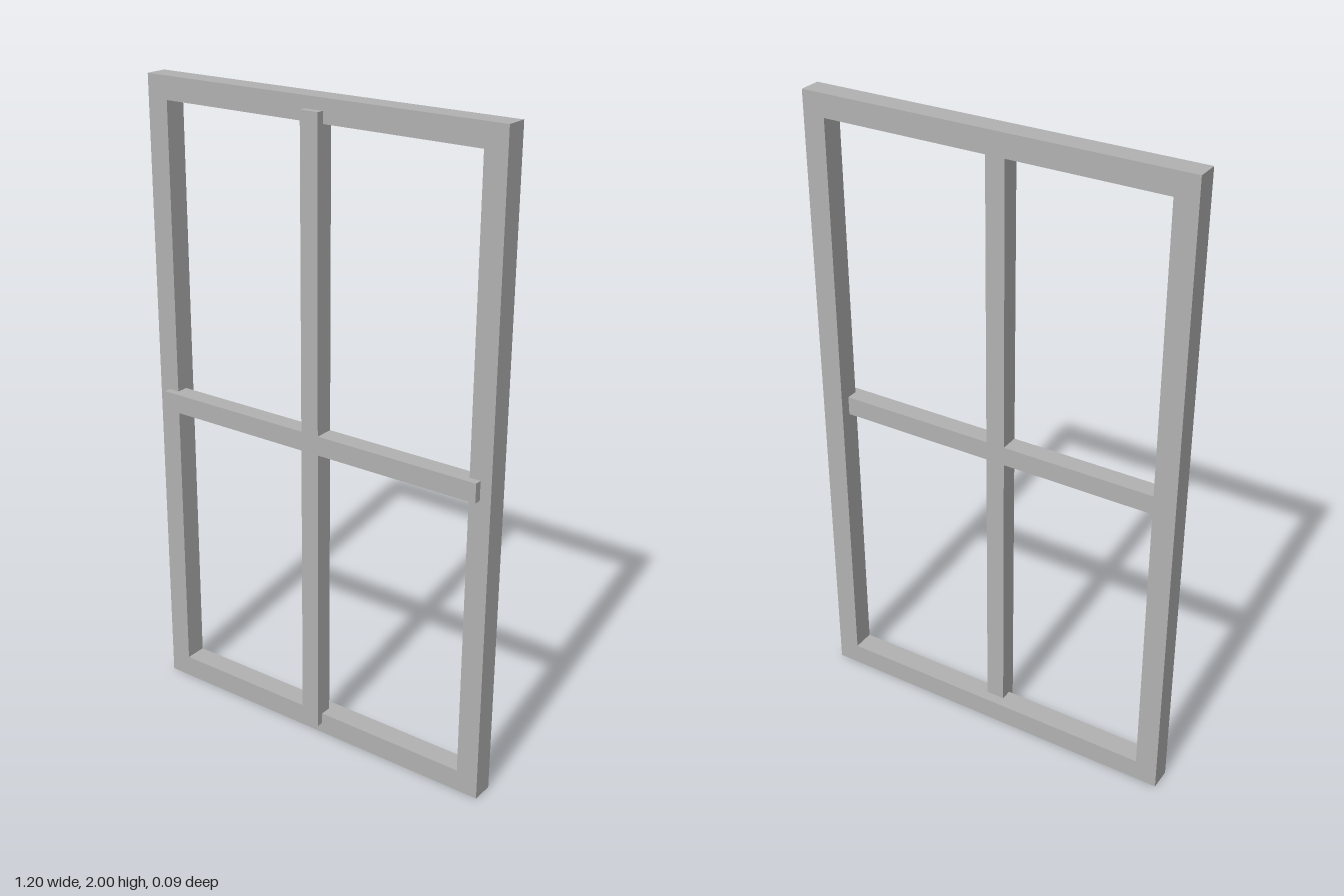
import * as THREE from 'three';

const WIDTH = 1.2, HEIGHT = 2, RAIL = 0.07, BAR = 0.06;
const FRAME_BACK = -0.0465, FRAME_DEPTH = 0.07;
const BAR_FRONT = 0.0465;

// Corner loop of an upright rectangle
const rectangle = (x0, y0, x1, y1) => [[x0, y0], [x1, y0], [x1, y1], [x0, y1]]
  .map(([x, y]) => new THREE.Vector2(x, y));

export function createModel() {
  const group = new THREE.Group();
  group.name = 'windowFrame';
  const grey = new THREE.MeshStandardMaterial({ color: 0xb2b2b2 });
  grey.name = 'grey';

  // Outer frame with one open light
  const outline = new THREE.Shape(rectangle(-WIDTH / 2, 0, WIDTH / 2, HEIGHT));
  outline.holes.push(new THREE.Path(
    rectangle(-WIDTH / 2 + RAIL, RAIL, WIDTH / 2 - RAIL, HEIGHT - RAIL).reverse()));
  const frame = new THREE.Mesh(
    new THREE.ExtrudeGeometry(outline, { depth: FRAME_DEPTH, bevelEnabled: false }), grey);
  frame.name = 'outerFrame';
  frame.position.z = FRAME_BACK;
  group.add(frame);

  const addBar = (name, w, h, x, y) => {
    const bar = new THREE.Mesh(new THREE.BoxGeometry(w, h, BAR), grey);
    bar.name = name;
    bar.position.set(x, y, BAR_FRONT - BAR / 2);
    group.add(bar);
  };

  // Glazing bars reach to the middle of the frame and stand proud of its front
  addBar('verticalBar', BAR, HEIGHT - RAIL, 0, HEIGHT / 2);
  const arm = (WIDTH - RAIL - BAR) / 2;
  for (const [name, side] of [['leftBar', 1], ['rightBar', -1]]) {
    addBar(name, arm, BAR, side * (BAR + arm) / 2, HEIGHT / 2);
  }
  return group;
}
